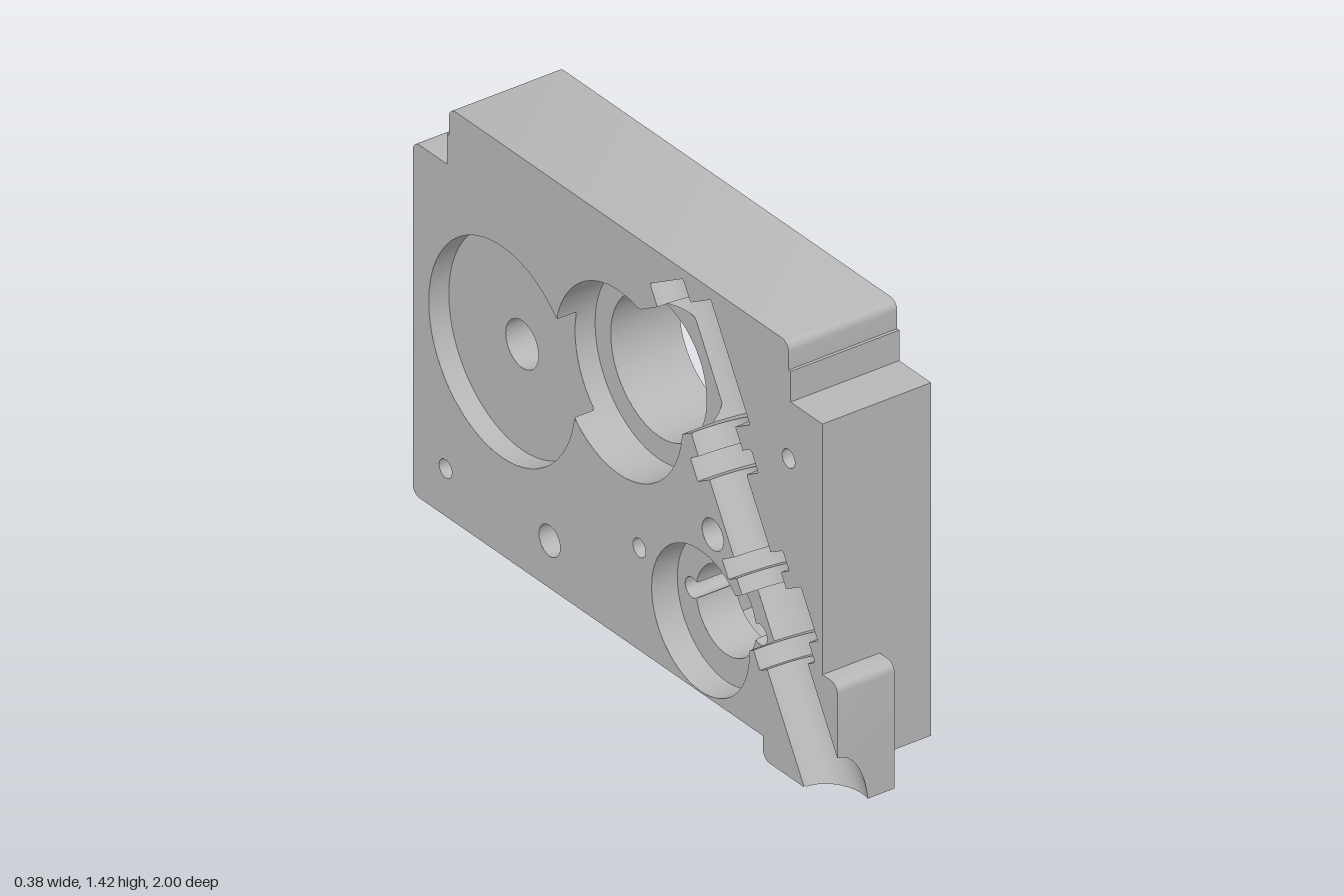
import * as THREE from 'three';
import { toCreasedNormals } from 'three/addons/utils/BufferGeometryUtils.js';

const FACE = -0.19;                       // machined side of the plate
const AXIS = { y: -0.05, z: 1, tilt: Math.PI / 6 };  // slanted bore axis, lying in that side

// stepped bore sections: from, to (along the axis), radius
const BORE = [
  [-0.4, 0.47, 0.11], [0.47, 0.53, 0.15], [0.53, 0.69, 0.2], [0.69, 0.74, 0.12],
  [0.74, 0.8, 0.165], [0.8, 1.03, 0.1], [1.03, 1.1, 0.165], [1.1, 1.17, 0.12],
  [1.17, 1.54, 0.2], [1.54, 1.61, 0.09],
];

// round cuts made from the machined side: name, z, y, radius, x of the floor
const ROUND = [
  ['largeRecess', -0.58, 0.74, 0.345, -0.12],
  ['largeRecessHole', -0.58, 0.74, 0.077, 0],
  ['mainCounterbore', -0.03, 0.905, 0.3, -0.05],
  ['mainThroughHole', -0.03, 0.905, 0.226, 0.3],
  ['lowerRecess', 0.355, 0.31, 0.23, -0.1],
  ['lowerThroughHole', 0.355, 0.31, 0.141, 0.06],
  ['frontEar', 0.515, 0.31, 0.033, 0.06],
  ['backEar', 0.195, 0.31, 0.033, 0.06],
  ['topScrewHole', 0.77, 1.04, 0.03, -0.04],
  ['backScrewHole', -0.846, 0.23, 0.03, -0.04],
  ['bottomPinHole', -0.356, 0.23, 0.05, -0.04],
  ['middleScrewHole', 0.067, 0.41, 0.03, -0.04],
  ['middlePinHole', 0.413, 0.62, 0.05, -0.04],
];

const POCKET = { z: 0.3575, y: 0.3125, hz: 0.2175, hy: 0.1825, x: 0.035 };

// outline from [z, y, corner radius] points, extruded along x
function slab(points, x0, x1) {
  const shape = new THREE.Shape();
  const P = points.map(([z, y]) => new THREE.Vector2(-z, y));
  const n = P.length;
  P.forEach((p, i) => {
    const r = points[i][2] || 0;
    const toward = q => p.clone().add(q.clone().sub(p).setLength(r));
    const a = toward(P[(i + n - 1) % n]), b = toward(P[(i + 1) % n]);
    if (i) shape.lineTo(a.x, a.y); else shape.moveTo(a.x, a.y);
    if (r) {
      const c = a.clone().add(b).sub(p);
      for (let k = 1; k <= 6; k++) {
        const w = k * Math.PI / 12;
        const q = c.clone().addScaledVector(a.clone().sub(c), Math.cos(w)).addScaledVector(b.clone().sub(c), Math.sin(w));
        shape.lineTo(q.x, q.y);
      }
    }
  });
  shape.closePath();
  return new THREE.ExtrudeGeometry(shape, { depth: x1 - x0, bevelEnabled: false })
    .translate(0, 0, x0).rotateY(Math.PI / 2);
}

function lathe(points, segments) {
  return new THREE.LatheGeometry(points.map(([r, t]) => new THREE.Vector2(r, t)), segments);
}

// signed distance to the solid block
function solid([x, y, z]) {
  const rect = (z0, z1, y0, y1, x1) => Math.max(z0 - z, z - z1, y0 - y, y - y1, FACE - x, x - x1);
  return Math.min(rect(-1, 0.93, 0.075, 1.23, 0.19), rect(-0.84, 0.77, 0.5, 1.42, 0.19),
    rect(0.65, 1, 0, 0.3, 0.01), rect(0.8, 1, 0, 0.41, 0.01));
}

// Trim a surface to where keep(p) > 0, splitting triangles near the cut
function trim(source, keep, step = 0.014) {
  const geo = toCreasedNormals(source, 0.6);
  const p = geo.attributes.position, nn = geo.attributes.normal;
  const pos = [], nor = [];
  const mix = (a, b, t) => a.map((v, i) => v + (b[i] - v) * t);
  const len = (a, b) => Math.hypot(a[0] - b[0], a[1] - b[1], a[2] - b[2]);
  const emit = (...tri) => tri.forEach(v => { pos.push(v[0], v[1], v[2]); nor.push(v[3], v[4], v[5]); });
  const visit = (a, b, c) => {
    const l = [len(a, b), len(b, c), len(c, a)];
    const longest = Math.max(...l);
    const k = keep(a.map((v, i) => (v + b[i] + c[i]) / 3));
    if (k > longest) return emit(a, b, c);
    if (k < -longest) return;
    if (longest > step) {
      const i = l.indexOf(longest);
      const [u, v, w] = [[a, b, c], [b, c, a], [c, a, b]][i];
      const m = mix(u, v, 0.5);
      visit(u, m, w);
      visit(m, v, w);
      return;
    }
    const out = [], tri = [a, b, c], f = tri.map(keep);
    for (let i = 0; i < 3; i++) {
      const j = (i + 1) % 3;
      if (f[i] > 0) out.push(tri[i]);
      if (f[i] > 0 !== f[j] > 0) out.push(mix(tri[i], tri[j], f[i] / (f[i] - f[j])));
    }
    for (let i = 2; i < out.length; i++) emit(out[0], out[i - 1], out[i]);
  };
  const vert = i => [p.getX(i), p.getY(i), p.getZ(i), nn.getX(i), nn.getY(i), nn.getZ(i)];
  for (let i = 0; i < p.count; i += 3) visit(vert(i), vert(i + 1), vert(i + 2));
  const result = new THREE.BufferGeometry();
  result.setAttribute('position', new THREE.Float32BufferAttribute(pos, 3));
  result.setAttribute('normal', new THREE.Float32BufferAttribute(nor, 3));
  return result;
}

export function createModel() {
  const group = new THREE.Group();
  const grey = new THREE.MeshStandardMaterial({ color: 0xb8b8b8 });
  grey.name = 'grey';

  // each cut has an inward-facing surface and a signed distance
  const cuts = ROUND.map(([name, z, y, r, x]) => ({
    name,
    geo: lathe([[0, x], [r, x], [r, -0.25]], r > 0.1 ? 64 : 24).rotateZ(-Math.PI / 2).translate(0, y, z),
    dist: p => Math.max(Math.hypot(p[2] - z, p[1] - y) - r, p[0] - x),
  }));

  // square pocket on the other side
  const { z, y, hz, hy, x } = POCKET;
  cuts.push({
    name: 'squarePocket',
    geo: new THREE.BoxGeometry(0.3, 2 * hy, 2 * hz).scale(-1, 1, 1).translate(x + 0.15, y, z),
    dist: p => Math.max(Math.abs(p[2] - z) - hz, Math.abs(p[1] - y) - hy, x - p[0]),
  });

  // slanted stepped bore
  const profile = [[0, 1.61]];
  [...BORE].reverse().forEach(([t0, t1, r]) => profile.push([r, t1], [r, t0]));
  const sin = Math.sin(AXIS.tilt), cos = Math.cos(AXIS.tilt);
  cuts.push({
    name: 'slantedBore',
    geo: lathe(profile, 64).rotateX(-AXIS.tilt).translate(FACE, AXIS.y, AXIS.z),
    dist: p => {
      const dy = p[1] - AXIS.y, dz = p[2] - AXIS.z;
      const t = dy * cos - dz * sin;
      const rho = Math.hypot(dy * sin + dz * cos, p[0] - FACE);
      return Math.min(...BORE.map(([t0, t1, r]) => Math.max(rho - r, t0 - t, t - t1)));
    },
  });

  const add = (name, geo, keep) => {
    const mesh = new THREE.Mesh(trim(geo, keep), grey);
    mesh.name = name;
    group.add(mesh);
  };
  const outside = (p, skip) => Math.min(...cuts.map(c => (c === skip ? 9 : c.dist(p))));

  // plate with stepped shoulders
  add('plate', slab([
    [0.93, 0.075], [0.93, 1.23], [0.78, 1.23], [0.78, 1.33], [0.77, 1.33], [0.77, 1.42, 0.03],
    [-0.83, 1.42, 0.03], [-0.83, 1.33], [-0.84, 1.33], [-0.84, 1.23], [-1, 1.23, 0.03], [-1, 0.075, 0.03],
  ], FACE, 0.19), p => outside(p));

  // L-shaped foot wrapped round the lower front corner
  add('foot', slab([
    [1, 0], [1, 0.41, 0.03], [0.93, 0.41], [0.93, 0.075], [0.65, 0.075], [0.65, 0, 0.03],
  ], FACE, 0.01), p => outside(p));

  // walls and floors of the cuts
  cuts.forEach(c => add(c.name, c.geo, p => Math.min(outside(p, c), -solid(p))));
  return group;
}
